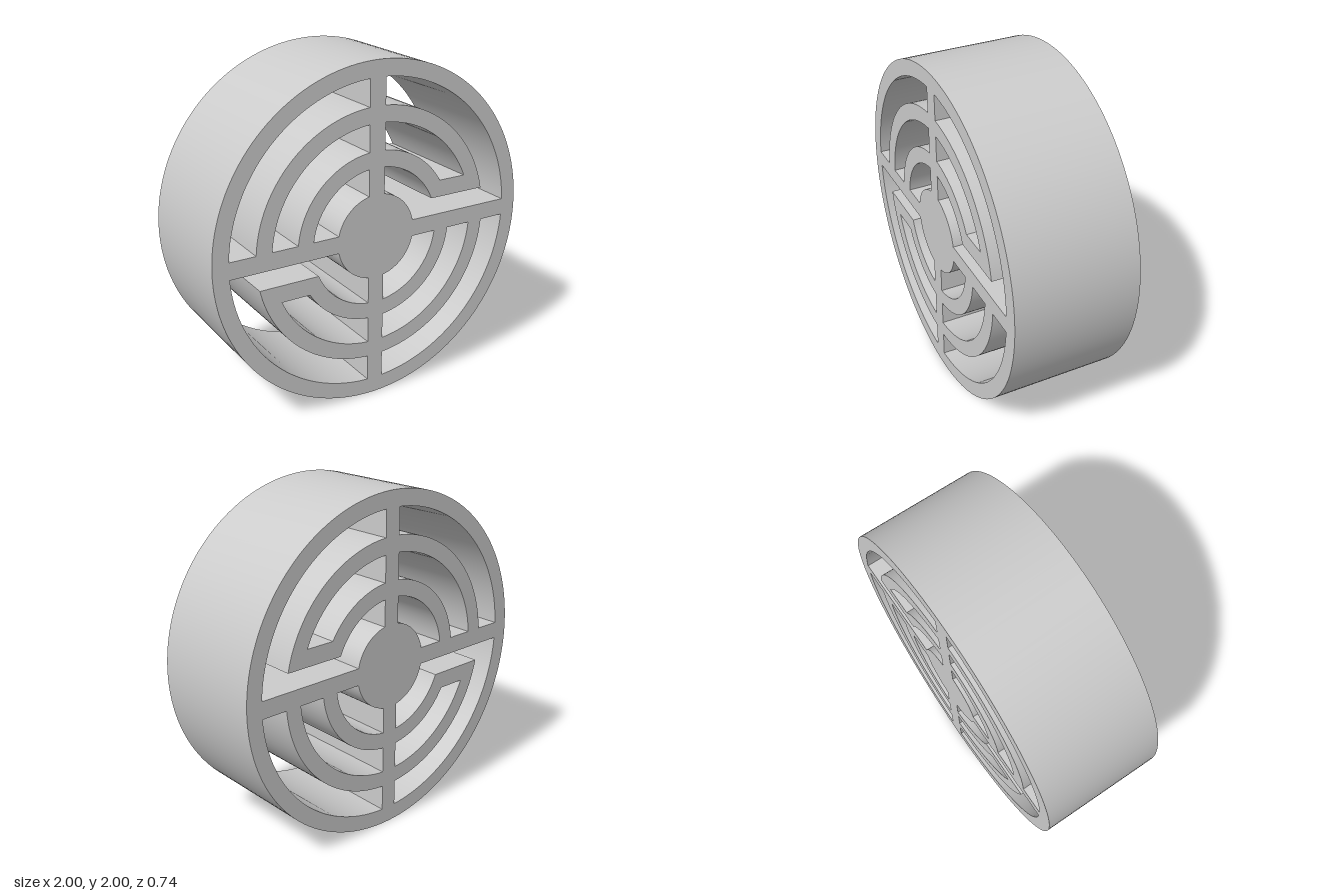
import * as THREE from 'three';
import { toCreasedNormals } from 'three/addons/utils/BufferGeometryUtils.js';

const DEPTH = 0.735;
const BAR = 0.05;                          // half width of the cross bars
const HUB = 0.25, RIM = 0.905;             // hub radius, inner radius of the rim
const RING1 = [0.405, 0.5], RING2 = [0.655, 0.75];
const LINK = [0.155, 0.255];               // bottom and top of the link joining the rings

// Angles where a circle of radius r meets the height h, and the upright bar
const atHeight = (r, h) => Math.asin(h / r);
const atUpright = (r) => Math.acos(BAR / r);

// Points on a circle of radius r from angle a to angle b
function arc(r, a, b) {
  const n = Math.max(6, Math.ceil(Math.abs(b - a) * 24));
  return Array.from({ length: n + 1 }, (_, i) => {
    const t = a + ((b - a) * i) / n;
    return new THREE.Vector2(r * Math.cos(t), r * Math.sin(t));
  });
}

// Curved slot in the first quadrant, between two radii and above height h
const slot = (r0, r1, h) => [
  ...arc(r1, atHeight(r1, h), atUpright(r1)),
  ...arc(r0, atUpright(r0), atHeight(r0, h)),
];

export function createModel() {
  const group = new THREE.Group();

  // Openings of the linked quadrant: closed slot, and the channel running round the link
  const linked = [
    slot(RING1[1], RING2[0], LINK[1]),
    [
      ...arc(RIM, atHeight(RIM, BAR), atUpright(RIM)),
      ...arc(RING2[1], atUpright(RING2[1]), atHeight(RING2[1], LINK[0])),
      ...arc(RING1[0], atHeight(RING1[0], LINK[0]), atUpright(RING1[0])),
      ...arc(HUB, atUpright(HUB), atHeight(HUB, BAR)),
    ],
  ];

  // Openings of the plain quadrant: three slots, mirrored to the other side
  const plain = [[HUB, RING1[0]], [RING1[1], RING2[0]], [RING2[1], RIM]].map(([r0, r1]) =>
    slot(r0, r1, BAR).map((p) => new THREE.Vector2(-p.x, p.y)).reverse());

  // The disc with its openings, repeated by a half turn
  const disc = new THREE.Shape(arc(1, 0, Math.PI * 2).slice(0, -1));
  for (const s of [1, -1]) {
    for (const hole of [...linked, ...plain]) {
      disc.holes.push(new THREE.Path(hole.map((p) => p.clone().multiplyScalar(s))));
    }
  }

  const geometry = new THREE.ExtrudeGeometry(disc, { depth: DEPTH, bevelEnabled: false });
  geometry.translate(0, 1, -DEPTH / 2);
  const wheel = new THREE.Mesh(
    toCreasedNormals(geometry, 0.5),
    new THREE.MeshStandardMaterial({ color: 0xcccccc }),
  );
  wheel.name = 'slottedWheel';
  group.add(wheel);
  return group;
}
